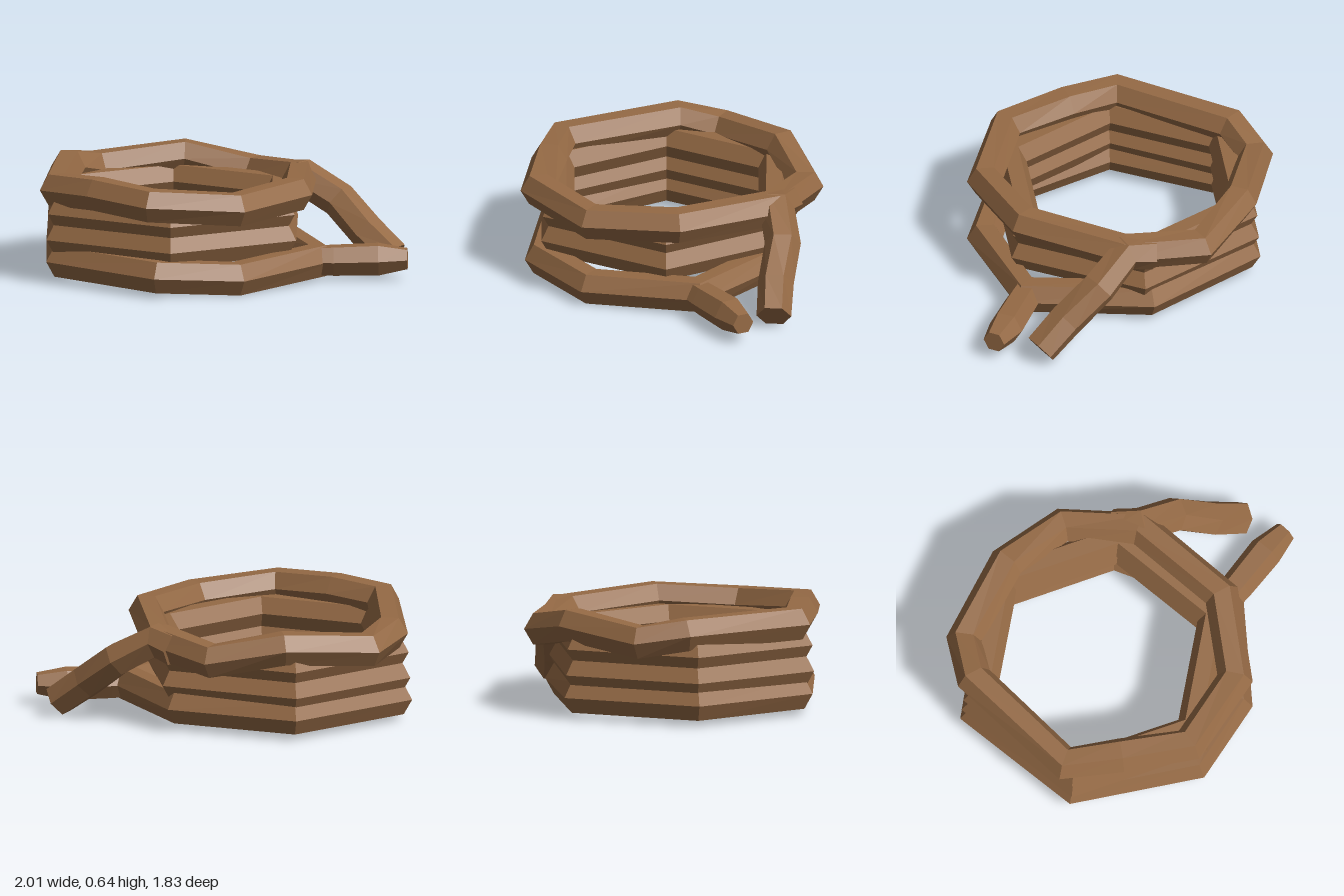
import * as THREE from 'three';

const SIDES = 6;
const R = 0.104;

// Six-sided rope through points [x, y, z, radius]; flats stay level on top and bottom
function ropeGeometry(points, closed) {
  const n = points.length;
  const centres = points.map((p) => new THREE.Vector3(p[0], p[1], p[2]));
  const up = new THREE.Vector3(0, 1, 0);
  const rings = centres.map((c, i) => {
    const prev = closed ? centres[(i + n - 1) % n] : centres[Math.max(i - 1, 0)];
    const next = closed ? centres[(i + 1) % n] : centres[Math.min(i + 1, n - 1)];
    const into = c.clone().sub(prev).normalize();
    const out = next.clone().sub(c).normalize();
    const tangent = into.add(out).normalize();
    const side = tangent.clone().cross(up).normalize();
    const lift = side.clone().cross(tangent);
    const r = points[i][3] ?? R;
    return Array.from({ length: SIDES }, (_, k) => {
      const a = (k / SIDES) * Math.PI * 2;
      return c.clone().addScaledVector(side, r * Math.cos(a)).addScaledVector(lift, r * Math.sin(a));
    });
  });

  const pos = [];
  const tri = (a, b, c) => [a, b, c].forEach((v) => pos.push(v.x, v.y, v.z));
  for (let i = 0; i < (closed ? n : n - 1); i++) {
    const a = rings[i];
    const b = rings[(i + 1) % n];
    for (let k = 0; k < SIDES; k++) {
      const m = (k + 1) % SIDES;
      tri(a[k], b[m], b[k]);
      tri(a[k], a[m], b[m]);
    }
  }
  // Flat cut ends
  if (!closed) {
    for (let k = 0; k < SIDES; k++) {
      const m = (k + 1) % SIDES;
      tri(centres[0], rings[0][m], rings[0][k]);
      tri(centres[n - 1], rings[n - 1][k], rings[n - 1][m]);
    }
  }
  const g = new THREE.BufferGeometry();
  g.setAttribute('position', new THREE.Float32BufferAttribute(pos, 3));
  g.computeVertexNormals();
  return g;
}

export function createModel() {
  const group = new THREE.Group();
  group.name = 'ropeCoil';
  const rope = new THREE.MeshStandardMaterial({ color: 0x956a45, flatShading: true, side: THREE.DoubleSide });
  rope.name = 'ropeBrown';

  const add = (name, points, closed) => {
    const mesh = new THREE.Mesh(ropeGeometry(points, closed), rope);
    mesh.name = name;
    group.add(mesh);
  };

  // Bottom loop, pulled out towards the front
  add('bottomLoop', [
    [0.56, 0.13, -0.09], [0.42, 0.12, 0.6], [-0.2, 0.095, 0.755], [-0.62, 0.12, 0.59],
    [-0.89, 0.13, -0.06], [-0.54, 0.13, -0.69], [0.2, 0.13, -0.69],
  ], true);

  // Loose end lying on the ground
  add('bottomTail', [
    [0.4, 0.12, 0.59, 0.09], [0.5, 0.12, 0.645, 0.095], [0.73, 0.125, 0.765, 0.1], [0.87, 0.13, 0.855, 0.065],
  ], false);

  // Two regular loops in the middle
  [0.26, 0.41].forEach((y, i) => {
    const points = Array.from({ length: 6 }, (_, k) => {
      const a = (k / 6) * Math.PI * 2;
      const r = 0.725 - 0.01 * i;
      return [-0.17 + r * Math.cos(a), y, -0.055 + r * Math.sin(a)];
    });
    add(`middleLoop${i + 1}`, points, true);
  });

  // Wider, uneven top loop
  add('topLoop', [
    [0.605, 0.5, 0.06], [0.28, 0.52, 0.59], [-0.2, 0.5, 0.755], [-0.66, 0.535, 0.57],
    [-0.8, 0.555, 0.2], [-0.9, 0.54, -0.11], [-0.48, 0.535, -0.72], [-0.24, 0.49, -0.82],
    [0.25, 0.54, -0.66], [0.56, 0.46, -0.39],
  ], true);

  // Loose end hanging down from the top loop
  add('topTail', [
    [0.6, 0.48, -0.1], [0.625, 0.505, 0.05], [0.77, 0.38, 0.23], [0.84, 0.22, 0.43], [0.92, 0.09, 0.59, 0.1],
  ], false);

  return group;
}
